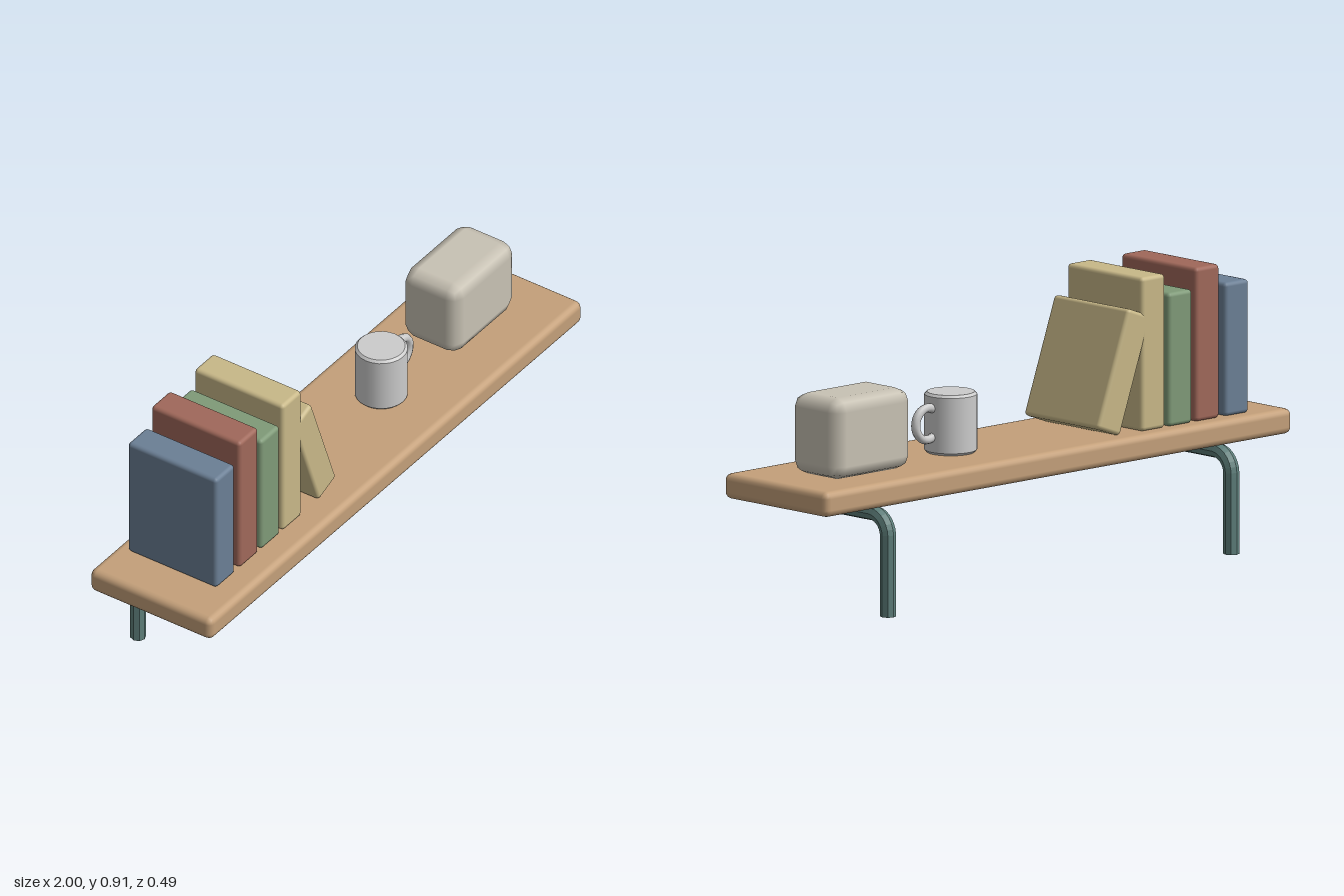
import * as THREE from 'three';
import { RoundedBoxGeometry } from 'three/addons/geometries/RoundedBoxGeometry.js';

const paint = (color, flatShading = false) => new THREE.MeshStandardMaterial({ color, flatShading });

function add(parent, name, geometry, material, x = 0, y = 0, z = 0) {
  const mesh = new THREE.Mesh(geometry, material);
  mesh.name = name;
  mesh.position.set(x, y, z);
  parent.add(mesh);
  return mesh;
}

export function createModel() {
  const model = new THREE.Group();
  model.name = 'wallShelf';
  const top = 0.422;

  // Plank
  add(model, 'shelfBoard', new RoundedBoxGeometry(2, 0.08, 0.46, 2, 0.022), paint(0xc4a07a), 0, top - 0.04, 0.013);

  // Bent tube brackets
  const steel = paint(0x5f807c, true);
  const r = 0.025, zBack = -0.217, yArm = 0.317, bend = 0.065;
  const path = new THREE.CurvePath();
  const armEnd = new THREE.Vector3(0, yArm, zBack + bend);
  const legTop = new THREE.Vector3(0, yArm - bend, zBack);
  const k = bend * 0.448;
  path.add(new THREE.LineCurve3(new THREE.Vector3(0, yArm, 0.14), armEnd));
  path.add(new THREE.CubicBezierCurve3(
    armEnd, new THREE.Vector3(0, yArm, zBack + k), new THREE.Vector3(0, yArm - k, zBack), legTop));
  path.add(new THREE.LineCurve3(legTop, new THREE.Vector3(0, 0, zBack)));
  const tube = new THREE.TubeGeometry(path, 48, r, 8, false);
  const cap = new THREE.CircleGeometry(r, 8);
  for (const side of [-1, 1]) {
    const bracket = new THREE.Group();
    bracket.name = side < 0 ? 'rightBracket' : 'leftBracket';
    bracket.position.x = side * 0.735;
    add(bracket, 'bracketTube', tube, steel);
    add(bracket, 'armCap', cap, steel, 0, yArm, 0.14);
    add(bracket, 'legCap', cap, steel, 0, 0, zBack).rotation.x = Math.PI / 2;
    model.add(bracket);
  }

  // Row of upright books: centre x, height, colour
  const books = new THREE.Group();
  books.name = 'books';
  model.add(books);
  const bookGeometry = (h) => new RoundedBoxGeometry(0.102, h, 0.336, 2, 0.013);
  const row = [
    [-0.802, 0.42, 0x6b7f95],
    [-0.676, 0.484, 0xa0685a],
    [-0.56, 0.42, 0x7f9a78],
    [-0.444, 0.484, 0xc8b888],
  ];
  row.forEach(([x, h, color], i) =>
    add(books, `book${i + 1}`, bookGeometry(h), paint(color), x, top + h / 2, -0.007));

  // Book leaning against the row
  add(books, 'leaningBook', bookGeometry(0.385), paint(0xc8b888), -0.32, 0.619, -0.007).rotation.z = 0.35;

  // Mug with slightly bevelled rims
  const mug = new THREE.Group();
  mug.name = 'mug';
  mug.position.set(0.25, top, 0.008);
  model.add(mug);
  const grey = paint(0xcccccc);
  const profile = [[0, 0], [0.074, 0], [0.074, 0], [0.082, 0.008], [0.082, 0.008],
    [0.082, 0.182], [0.082, 0.182], [0.074, 0.19], [0.074, 0.19], [0, 0.19]];
  add(mug, 'mugBody', new THREE.LatheGeometry(profile.map(([x, y]) => new THREE.Vector2(x, y)), 24), grey);
  const arc = 4.2;
  add(mug, 'mugHandle', new THREE.TorusGeometry(0.05, 0.014, 8, 20, arc), grey, 0.1, 0.1, 0).rotation.z = -arc / 2;

  // Chunky chamfered box
  add(model, 'storageBox', new RoundedBoxGeometry(0.33, 0.256, 0.212, 1, 0.043), paint(0xc8c2b4), 0.692, top + 0.128, -0.01);

  return model;
}
